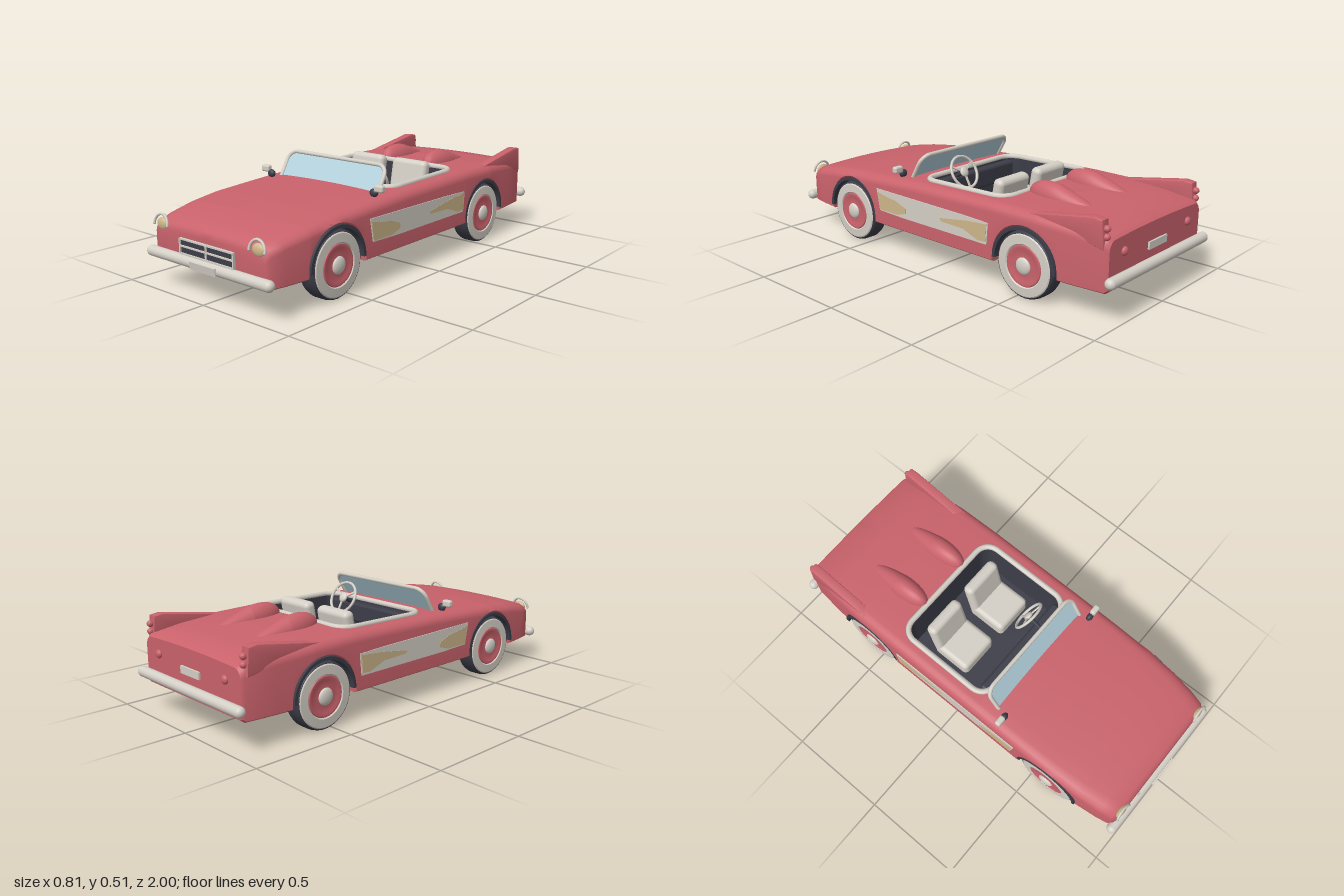
import * as THREE from 'three';
import { toCreasedNormals } from 'three/addons/utils/BufferGeometryUtils.js';
import { RoundedBoxGeometry } from 'three/addons/geometries/RoundedBoxGeometry.js';

const mat = (name, color, side = THREE.FrontSide) => {
  const m = new THREE.MeshStandardMaterial({ color, side });
  m.name = name;
  return m;
};

const ARCH_R = 0.175, AXLE_Y = 0.155, AXLES = [0.588, -0.545];
const COCKPIT = { front: 0.14, back: -0.37, half: 0.31, r: 0.07 };

// Body stations: z, half width, top height, bottom height, shoulder width
const STATIONS = [
  [0.965, 0.33, 0.275, 0.15, 0.05], [0.958, 0.348, 0.297, 0.135, 0.07], [0.94, 0.36, 0.312, 0.13, 0.08],
  [0.88, 0.372, 0.329, 0.13, 0.08], [0.75, 0.388, 0.35, 0.13, 0.07], [0.6, 0.394, 0.367, 0.13, 0.06],
  [0.4, 0.397, 0.377, 0.13, 0.055], [0.15, 0.397, 0.389, 0.13, 0.05], [-0.37, 0.397, 0.401, 0.13, 0.05],
  [-0.6, 0.395, 0.399, 0.13, 0.05], [-0.8, 0.38, 0.386, 0.13, 0.045], [-0.94, 0.365, 0.367, 0.13, 0.04],
  [-0.955, 0.355, 0.355, 0.14, 0.04],
];

function station(z) {
  let i = 0;
  while (i < STATIONS.length - 2 && z < STATIONS[i + 1][0]) i++;
  const a = STATIONS[i], b = STATIONS[i + 1], t = (z - a[0]) / (b[0] - a[0]);
  return a.map((v, k) => v + (b[k] - v) * t);
}

// Half section from bottom centre, round the side, to the inner edge of the top
function section(z, open) {
  const [, w, top, base, sh] = station(z);
  let yb = base;
  for (const c of AXLES) {
    const d = Math.abs(z - c);
    if (d <= ARCH_R) yb = AXLE_Y + Math.sqrt(ARCH_R ** 2 - d * d);
  }
  let xi = 0;
  if (open) {
    const e = Math.max(0, COCKPIT.r - Math.min(COCKPIT.front - z, z - COCKPIT.back));
    xi = COCKPIT.half - COCKPIT.r + Math.sqrt(Math.max(0, COCKPIT.r ** 2 - e * e));
  }
  const p = [[0, base], [0.26, base], [0.26, yb], [w - 0.012, yb], [w, yb + 0.008]];
  for (let k = 0; k <= 5; k++) {
    const a = k / 5 * Math.PI / 2;
    p.push([w - sh * (1 - Math.cos(a)), Math.max(yb + 0.01, top - 0.045 * (1 - Math.sin(a)))]);
  }
  for (let k = 1; k <= 6; k++) {
    const x = w - sh + (xi - w + sh) * k / 6;
    p.push([x, top + 0.008 * (1 - (x / (w - sh)) ** 2)]);
  }
  return p;
}

function bodyGeometry() {
  const zs = STATIONS.map(s => s[0]);
  for (const c of AXLES) {
    for (let k = 0; k <= 20; k++) zs.push(c + ARCH_R * 0.9999 * Math.cos(k * Math.PI / 20));
    zs.push(c + ARCH_R + 0.0005, c - ARCH_R - 0.0005);
  }
  for (let k = 1; k < 6; k++) {
    const d = COCKPIT.r * (1 - Math.cos(k * Math.PI / 12));
    zs.push(COCKPIT.front - d, COCKPIT.back + d);
  }
  zs.push(0.07, -0.1, -0.3);
  const rows = [...new Set(zs)].filter(z => z !== COCKPIT.back)
    .map(z => ({ z, open: z < COCKPIT.front && z > COCKPIT.back }));
  for (const z of [COCKPIT.front, COCKPIT.back]) rows.push({ z, open: false }, { z, open: true });
  // At each end of the cockpit the closed and open sections share one z
  rows.sort((a, b) => b.z - a.z || (a.z > 0 ? a.open - b.open : b.open - a.open));
  const grid = rows.map(r => section(r.z, r.open).map(q => [q[0], q[1], r.z]));
  const flat = row => row.map(q => [0, q[1], q[2]]);
  grid.unshift(flat(grid[0]));
  grid.push(flat(grid[grid.length - 1]));
  const pos = [], idx = [], n = grid[0].length;
  for (const s of [1, -1]) {
    const off = pos.length / 3;
    grid.forEach(row => row.forEach(q => pos.push(q[0] * s, q[1], q[2])));
    for (let i = 0; i < grid.length - 1; i++) for (let j = 0; j < n - 1; j++) {
      const a = off + i * n + j, b = a + 1, c = a + n, d = c + 1;
      if (s > 0) idx.push(a, c, b, b, c, d);
      else idx.push(a, b, c, b, d, c);
    }
  }
  const g = new THREE.BufferGeometry();
  g.setAttribute('position', new THREE.Float32BufferAttribute(pos, 3));
  g.setIndex(idx);
  return toCreasedNormals(g, 0.65);
}

// Rounded rectangle used for the cockpit, drawn in x and -z
function cockpitShape(inset, Type = THREE.Shape) {
  const s = new Type(), h = COCKPIT.half - inset, r = COCKPIT.r - inset;
  const lo = -COCKPIT.front + inset, hi = -COCKPIT.back - inset;
  s.absarc(h - r, lo + r, r, -Math.PI / 2, 0);
  s.absarc(h - r, hi - r, r, 0, Math.PI / 2);
  s.absarc(-h + r, hi - r, r, Math.PI / 2, Math.PI);
  s.absarc(-h + r, lo + r, r, Math.PI, Math.PI * 1.5);
  s.closePath();
  return s;
}

export function createModel() {
  const car = new THREE.Group();
  car.name = 'convertible';
  const red = mat('red paint', 0xc9626b), dark = mat('dark trim', 0x3c3d48, THREE.DoubleSide);
  const cream = mat('cream trim', 0xd4cfc6), tan = mat('tan', 0xcdb68a);
  const glass = mat('pale glass', 0xb2d1dc, THREE.DoubleSide), under = mat('underside', 0x2a2a31);

  const add = (name, geo, m, x = 0, y = 0, z = 0, parent = car) => {
    const o = new THREE.Mesh(geo, m);
    o.name = name;
    o.position.set(x, y, z);
    parent.add(o);
    return o;
  };
  const box = (w, h, d) => new THREE.BoxGeometry(w, h, d);
  const ball = (r, sx = 1, sy = 1, sz = 1) => new THREE.SphereGeometry(r, 24, 16).scale(sx, sy, sz);
  const poly = pts => new THREE.Shape(pts.map(p => new THREE.Vector2(...p)));
  // Extrude a (z, y) outline sideways, centred on x = 0
  const sideways = (shape, depth, bevel = 0) => new THREE.ExtrudeGeometry(shape, {
    depth, bevelEnabled: bevel > 0, bevelSize: bevel, bevelThickness: bevel, bevelSegments: 3, curveSegments: 24,
  }).translate(0, 0, -depth / 2).rotateY(-Math.PI / 2);

  // Body and underside
  add('body', bodyGeometry(), red);
  add('chassis', box(0.53, 0.03, 1.5), under, 0, 0.12, 0.01);

  // Cockpit tub, rim and dashboard
  const wall = cockpitShape(-0.004);
  wall.holes.push(cockpitShape(0.008, THREE.Path));
  add('cockpitWall', new THREE.ExtrudeGeometry(wall, { depth: 0.24, bevelEnabled: false }).rotateX(-Math.PI / 2), dark, 0, 0.16, 0);
  add('cockpitFloor', new THREE.ShapeGeometry(cockpitShape(0)).rotateX(-Math.PI / 2), dark, 0, 0.165, 0);
  const rim = cockpitShape(-0.003).getSpacedPoints(80).slice(0, -1).map(p => new THREE.Vector3(p.x, 0.396 + p.y * 0.02, -p.y));
  add('cockpitRim', new THREE.TubeGeometry(new THREE.CatmullRomCurve3(rim, true), 120, 0.014, 10, true), cream);
  add('dashboard', new RoundedBoxGeometry(0.56, 0.1, 0.05, 3, 0.015), dark, 0, 0.33, 0.11);

  // Windscreen, leaning back
  const screen = new THREE.Group();
  screen.name = 'windscreen';
  screen.position.set(0, 0.378, 0.228);
  screen.rotation.x = -0.53;
  car.add(screen);
  const arc = (cx, a0) => [0, 1, 2, 3, 4, 5, 6].map(k => {
    const a = a0 - k * Math.PI / 12;
    return new THREE.Vector2(cx + 0.05 * Math.cos(a), 0.092 + 0.05 * Math.sin(a));
  });
  const outline = [new THREE.Vector2(-0.307, 0), ...arc(-0.257, Math.PI), ...arc(0.257, Math.PI / 2), new THREE.Vector2(0.307, 0)];
  const framePath = new THREE.CurvePath();
  outline.slice(1).forEach((p, i) => framePath.add(new THREE.LineCurve3(
    new THREE.Vector3(outline[i].x, outline[i].y, 0), new THREE.Vector3(p.x, p.y, 0))));
  add('windscreenFrame', new THREE.TubeGeometry(framePath, 120, 0.01, 10), cream, 0, 0, 0, screen);
  add('windscreenGlass', new THREE.ShapeGeometry(new THREE.Shape(outline)), glass, 0, 0, 0, screen);

  // Steering wheel
  const steering = new THREE.Group();
  steering.name = 'steeringWheel';
  steering.position.set(0.135, 0.41, 0.045);
  steering.rotation.x = 0.51;
  car.add(steering);
  add('steeringRing', new THREE.TorusGeometry(0.08, 0.007, 10, 40), cream, 0, 0, 0, steering);
  add('steeringHub', ball(0.025, 1, 1, 0.5), cream, 0, 0, 0, steering);
  for (let k = 0; k < 3; k++) {
    add('steeringSpoke', box(0.01, 0.08, 0.006).translate(0, 0.04, 0), cream, 0, 0, 0, steering).rotation.z = Math.PI / 3 + k * Math.PI * 2 / 3;
  }
  add('steeringColumn', new THREE.CylinderGeometry(0.01, 0.01, 0.1, 12).rotateX(Math.PI / 2), dark, 0, 0, 0.055, steering);

  // Lathe profiles for the wheels: radius, distance along axle
  const lathe = pts => toCreasedNormals(new THREE.LatheGeometry(pts.map(p => new THREE.Vector2(...p)), 48), 0.6);
  const tyre = lathe([[0, -0.045], [0.135, -0.046], [0.148, -0.038], [0.154, -0.022], [0.154, 0.025], [0.151, 0.038], [0.145, 0.044], [0.09, 0.044]]);
  const whitewall = lathe([[0.147, 0.041], [0.138, 0.048], [0.1, 0.05], [0.094, 0.044]]);
  const rimDisc = lathe([[0.096, 0.044], [0.092, 0.049], [0.08, 0.05], [0.072, 0.046], [0.045, 0.047], [0, 0.05]]);

  // Fender arch liner
  const liner = new THREE.Shape();
  liner.absarc(0, 0, ARCH_R, 0, Math.PI);
  liner.absarc(0, 0, 0.16, Math.PI, 0, true);
  const well = new THREE.Shape();
  well.absarc(0, 0, ARCH_R - 0.002, 0, Math.PI);

  for (const s of [1, -1]) {
    for (const z of AXLES) {
      const wheel = new THREE.Group();
      wheel.name = z > 0 ? 'frontWheel' : 'rearWheel';
      wheel.position.set(s * 0.343, 0.154, z);
      wheel.rotation.z = -s * Math.PI / 2;
      car.add(wheel);
      add('tyre', tyre, dark, 0, 0, 0, wheel);
      add('whitewall', whitewall, cream, 0, 0, 0, wheel);
      add('wheelDisc', rimDisc, red, 0, 0, 0, wheel);
      add('hubCap', ball(0.04, 1, 0.4, 1), cream, 0, 0.047, 0, wheel);
      add('archLiner', sideways(liner, 0.134), dark, s * 0.33, AXLE_Y, z);
      add('wellWall', sideways(well, 0.01), dark, s * 0.264, AXLE_Y, z);
    }

    // Side panel with tan patches
    const panel = poly([[0.39, 0.316], [0.37, 0.208], [0.2, 0.203], [-0.34, 0.203], [-0.35, 0.305], [-0.2, 0.31]]);
    add('sidePanel', sideways(panel, 0.006), cream, s * 0.398, 0, 0);
    const patches = [
      [[0.382, 0.3], [0.368, 0.212], [0.24, 0.212], [0.18, 0.23], [0.18, 0.255], [0.25, 0.28], [0.32, 0.288]],
      [[-0.05, 0.262], [-0.06, 0.248], [-0.2, 0.245], [-0.29, 0.212], [-0.335, 0.215], [-0.342, 0.298], [-0.22, 0.288]],
    ];
    for (const p of patches) add('panelPatch', sideways(poly(p), 0.002), tan, s * 0.4013, 0, 0);

    // Tail fin and tail lamps
    const fin = poly([[-0.52, 0.385], [-0.68, 0.408], [-0.88, 0.441], [-0.92, 0.436], [-0.93, 0.325], [-0.75, 0.355]]);
    add('tailFin', toCreasedNormals(sideways(fin, 0.034, 0.006), 0.5), red, s * 0.35, 0, 0);
    for (const y of [0.37, 0.405]) add('finLamp', ball(0.015, 1, 1, 1.1), red, s * 0.35, y, -0.935);
    add('tailLamp', ball(0.02, 1, 1, 0.7), red, s * 0.25, 0.29, -0.957);

    // Headrest fairing, tapering to the rear
    const hump = ball(1);
    const hp = hump.attributes.position;
    for (let i = 0; i < hp.count; i++) {
      const t = (hp.getZ(i) + 1) / 2;
      hp.setXYZ(i, hp.getX(i) * (0.04 + 0.03 * t), hp.getY(i) * (0.03 + 0.065 * t) - 0.02 * (1 - t), Math.sign(hp.getZ(i)) * Math.abs(hp.getZ(i)) ** 1.15 * 0.18);
    }
    hump.computeVertexNormals();
    add('headrestFairing', hump, red, s * 0.135, 0.402, -0.552);

    // Seat
    add('seatCushion', new RoundedBoxGeometry(0.21, 0.1, 0.21, 4, 0.025), cream, s * 0.135, 0.24, -0.145);
    add('seatBack', new RoundedBoxGeometry(0.21, 0.24, 0.06, 4, 0.025), cream, s * 0.135, 0.33, -0.24).rotation.x = -0.18;

    // Wing mirror
    add('mirror', new RoundedBoxGeometry(0.05, 0.034, 0.03, 3, 0.01), cream, s * 0.358, 0.423, 0.277);
    add('mirrorStem', ball(0.022, 1, 0.9, 0.7), dark, s * 0.325, 0.4, 0.275);

    // Headlight with hooded ring
    add('headlight', ball(0.036, 1, 0.82, 0.45), tan, s * 0.302, 0.29, 0.955);
    add('headlightHood', new THREE.TorusGeometry(0.045, 0.006, 10, 32, Math.PI).scale(1, 1.05, 1), cream, s * 0.302, 0.288, 0.968).rotation.x = -0.2;
    for (const e of [-1, 1]) add('hoodTip', ball(0.006), cream, s * 0.302 + e * 0.045, 0.288, 0.968);
  }

  // Grille
  add('grilleBack', box(0.33, 0.07, 0.008), dark, 0, 0.22, 0.966);
  for (const y of [0.188, 0.222, 0.253]) add('grilleBar', box(0.34, 0.007, 0.014), cream, 0, y, 0.97);
  for (const x of [-0.168, 0, 0.168]) add('grillePost', box(0.007, 0.07, 0.014), cream, x, 0.22, 0.97);

  // Bumpers and plates
  const bumper = new THREE.CapsuleGeometry(0.025, 0.735, 8, 20).rotateZ(Math.PI / 2);
  add('frontBumper', bumper, cream, 0, 0.16, 0.97);
  add('rearBumper', bumper, cream, 0, 0.187, -0.975);
  add('frontPlate', box(0.162, 0.036, 0.008), cream, 0, 0.157, 0.993).rotation.x = 0.15;
  add('rearPlate', box(0.14, 0.034, 0.012), cream, 0, 0.262, -0.958);
  return car;
}
